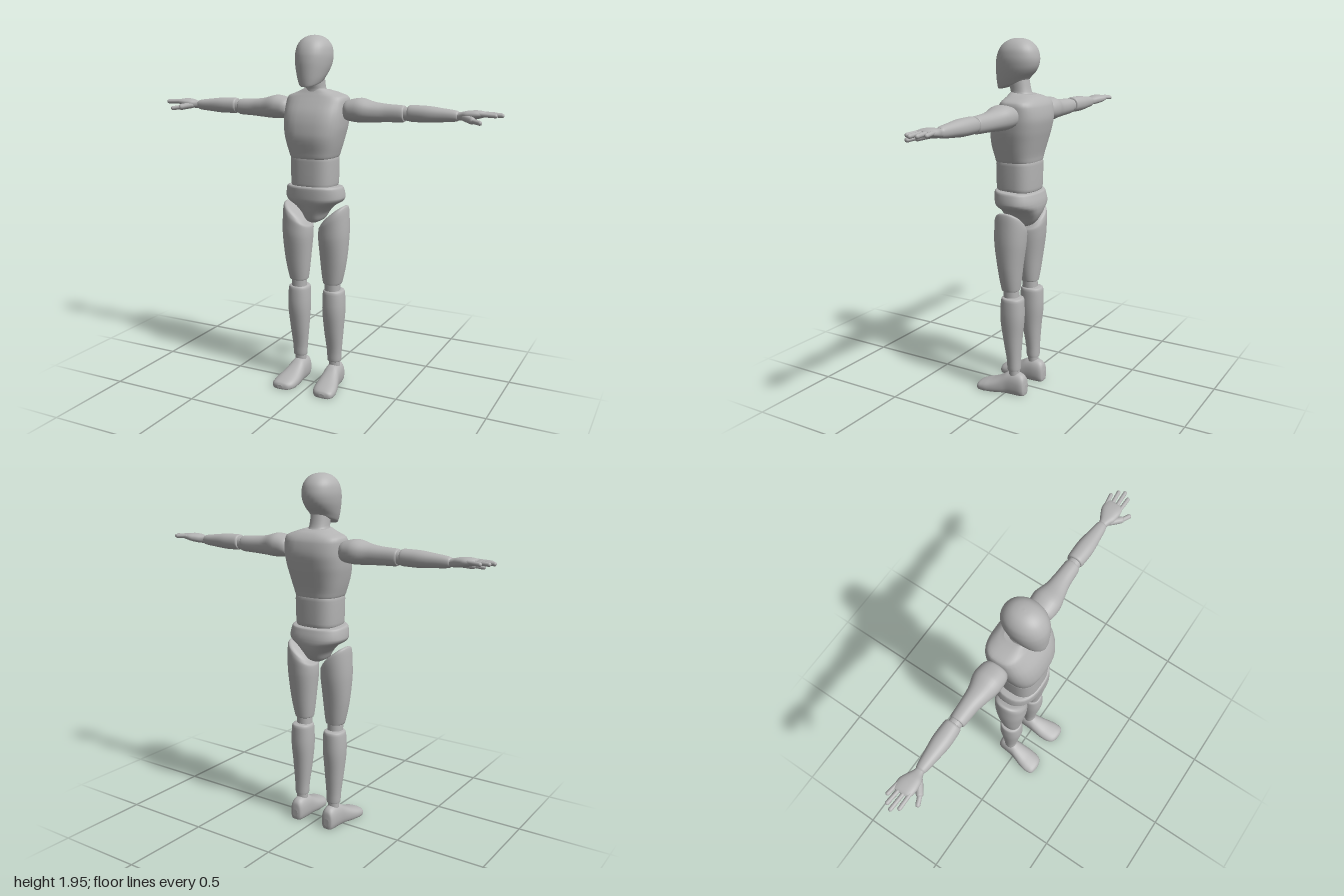
import * as THREE from 'three';

const grey = new THREE.MeshStandardMaterial({ color: 0xb4b4b4 });
grey.name = 'matte grey';

// Smooth interpolation through rows of numbers, with knots spaced by distance
function smoothRows(rows, steps) {
  const knots = [0];
  for (let i = 1; i < rows.length; i++) {
    const d = Math.hypot(...rows[i].map((v, k) => v - rows[i - 1][k]));
    knots.push(knots[i - 1] + Math.sqrt(d) + 1e-4);
  }
  const last = rows.length - 1;
  const slope = (i, k) => {
    const s = (a) => (rows[a + 1][k] - rows[a][k]) / (knots[a + 1] - knots[a]);
    if (i === 0) return s(0);
    if (i === last) return s(last - 1);
    const a = s(i - 1), b = s(i);
    return a * b <= 0 ? 0 : (2 * a * b) / (a + b);
  };
  const out = [];
  for (let i = 0; i < last; i++) {
    const h = knots[i + 1] - knots[i];
    for (let j = 0; j < steps; j++) {
      const t = j / steps, t2 = t * t, t3 = t2 * t;
      out.push(rows[i].map((p, k) => (2 * t3 - 3 * t2 + 1) * p + (t3 - 2 * t2 + t) * h * slope(i, k)
        + (3 * t2 - 2 * t3) * rows[i + 1][k] + (t3 - t2) * h * slope(i + 1, k)));
    }
  }
  out.push(rows[last]);
  return out;
}

// Skin over rounded sections along an axis (0 x, 1 y, 2 z).
// Row: [t, u0, u1, v0, v1, tiltU, tiltV]; u and v are the next two axes in x-y-z order.
function loft(axis, rows, power = 2.2, adjust = null) {
  const N = 32, pos = [], index = [];
  const full = rows.map((r) => [...r, 0, 0].slice(0, 7));
  const rings = smoothRows(full, 4);
  const put = (t, u, v) => {
    const p = [0, 0, 0];
    p[axis] = t; p[(axis + 1) % 3] = u; p[(axis + 2) % 3] = v;
    if (adjust) adjust(p);
    pos.push(...p);
  };
  const ring = ([t, u0, u1, v0, v1, tu, tv]) => {
    for (let i = 0; i < N; i++) {
      const a = (i / N) * Math.PI * 2, c = Math.cos(a), s = Math.sin(a);
      const du = (u1 - u0) / 2 * Math.sign(c) * Math.abs(c) ** (2 / power);
      const dv = (v1 - v0) / 2 * Math.sign(s) * Math.abs(s) ** (2 / power);
      put(t + tu * du + tv * dv, (u0 + u1) / 2 + du, (v0 + v1) / 2 + dv);
    }
  };
  rings.forEach(ring);
  for (let r = 0; r < rings.length - 1; r++) {
    for (let i = 0; i < N; i++) {
      const a = r * N + i, b = r * N + (i + 1) % N;
      index.push(a, b, b + N, a, b + N, a + N);
    }
  }
  // End caps
  for (const [row, top] of [[rings[0], false], [rings[rings.length - 1], true]]) {
    const base = pos.length / 3;
    ring(row);
    put(row[0], (row[1] + row[2]) / 2, (row[3] + row[4]) / 2);
    for (let i = 0; i < N; i++) {
      const a = base + i, b = base + (i + 1) % N;
      index.push(base + N, top ? a : b, top ? b : a);
    }
  }
  const g = new THREE.BufferGeometry();
  g.setAttribute('position', new THREE.Float32BufferAttribute(pos, 3));
  g.setIndex(index);
  g.computeVertexNormals();
  return g;
}

// Section row along y, symmetric about x = 0
const sym = (y, z0, z1, w, tilt = 0) => [y, z0, z1, -w, w, tilt, 0];

// Round-ended finger between two points
function finger(a, b, radius) {
  const p = new THREE.Vector3(...a), d = new THREE.Vector3(...b).sub(p);
  const g = new THREE.CapsuleGeometry(radius, d.length() - radius, 6, 12);
  g.applyQuaternion(new THREE.Quaternion().setFromUnitVectors(new THREE.Vector3(0, 1, 0), d.clone().normalize()));
  const mid = p.addScaledVector(d, 0.5);
  return g.translate(mid.x, mid.y, mid.z);
}

function mirrored(geometry) {
  const g = geometry.clone().scale(-1, 1, 1);
  g.setIndex(Array.from(g.index.array).reverse());
  return g;
}

export function createModel() {
  const model = new THREE.Group();
  model.name = 'jointedFigure';
  const add = (name, g) => {
    const mesh = new THREE.Mesh(g, grey);
    mesh.name = name;
    model.add(mesh);
  };
  const addPair = (name, g) => {
    add(name + 'Left', g);
    add(name + 'Right', mirrored(g));
  };

  // Head, neck and trunk
  add('head', loft(1, [
    sym(1.7, -0.035, 0.095, 0.035, -0.28), sym(1.703, -0.052, 0.113, 0.054, -0.27),
    sym(1.725, -0.068, 0.118, 0.068, -0.22), sym(1.76, -0.095, 0.121, 0.081, -0.12),
    sym(1.8, -0.114, 0.122, 0.091, -0.05), sym(1.84, -0.12, 0.118, 0.095),
    sym(1.88, -0.113, 0.105, 0.09), sym(1.915, -0.09, 0.08, 0.071),
    sym(1.935, -0.06, 0.048, 0.045), sym(1.943, -0.03, 0.02, 0.02), sym(1.945, -0.006, -0.004, 0.001),
  ], 2.1));
  add('neck', loft(1, [
    sym(1.62, -0.1, 0.035, 0.075, 0.1), sym(1.655, -0.09, 0.033, 0.058, 0.15),
    sym(1.68, -0.075, 0.038, 0.052, 0.15), sym(1.74, -0.06, 0.05, 0.05),
  ]));
  add('chest', loft(1, [
    sym(1.3, -0.1, 0.08, 0.1), sym(1.305, -0.12, 0.1, 0.122), sym(1.34, -0.127, 0.108, 0.136),
    sym(1.42, -0.148, 0.123, 0.157), sym(1.48, -0.163, 0.117, 0.168), sym(1.54, -0.172, 0.1, 0.172),
    sym(1.6, -0.163, 0.066, 0.171), sym(1.625, -0.15, 0.05, 0.164),
    sym(1.645, -0.13, 0.038, 0.12), sym(1.665, -0.1, 0.025, 0.065, 0.1),
  ], 2.8));
  add('abdomen', loft(1, [
    sym(1.145, -0.1, 0.08, 0.1), sym(1.15, -0.118, 0.094, 0.118), sym(1.17, -0.122, 0.098, 0.123),
    sym(1.29, -0.124, 0.1, 0.126), sym(1.312, -0.12, 0.097, 0.122), sym(1.318, -0.1, 0.08, 0.1),
  ], 2.8));
  add('pelvis', loft(1, [
    sym(0.945, -0.055, 0.025, 0.015), sym(0.96, -0.09, 0.05, 0.043), sym(1, -0.125, 0.072, 0.066),
    sym(1.04, -0.142, 0.088, 0.105), sym(1.07, -0.146, 0.099, 0.153), sym(1.09, -0.145, 0.103, 0.163),
    sym(1.135, -0.136, 0.106, 0.157, 0.06), sym(1.148, -0.13, 0.1, 0.15, 0.06), sym(1.153, -0.11, 0.08, 0.12, 0.06),
  ], 2.4));

  // Arms
  addPair('upperArm', loft(0, [
    [0.163, 1.53, 1.59, -0.08, -0.01], [0.172, 1.508, 1.608, -0.104, 0.014],
    [0.2, 1.501, 1.617, -0.118, 0.027], [0.25, 1.497, 1.625, -0.123, 0.03],
    [0.33, 1.501, 1.606, -0.103, 0.012], [0.4, 1.505, 1.598, -0.096, -0.003],
    [0.482, 1.508, 1.594, -0.091, -0.009], [0.492, 1.512, 1.59, -0.087, -0.013], [0.495, 1.525, 1.577, -0.07, -0.03],
  ]));
  addPair('elbow', loft(0, [[0.475, 1.517, 1.587, -0.086, -0.018], [0.535, 1.517, 1.587, -0.086, -0.018]]));
  addPair('forearm', loft(0, [
    [0.511, 1.53, 1.58, -0.075, -0.03], [0.514, 1.517, 1.593, -0.094, -0.014],
    [0.525, 1.513, 1.598, -0.098, -0.01], [0.6, 1.512, 1.597, -0.1, -0.006],
    [0.69, 1.518, 1.588, -0.09, -0.015], [0.765, 1.525, 1.578, -0.079, -0.026], [0.775, 1.53, 1.572, -0.074, -0.032],
  ]));
  addPair('palm', loft(0, [
    [0.76, 1.532, 1.57, -0.072, -0.033], [0.785, 1.531, 1.573, -0.077, -0.027],
    [0.82, 1.533, 1.581, -0.094, -0.01], [0.86, 1.54, 1.584, -0.108, -0.006],
    [0.895, 1.549, 1.58, -0.107, -0.011], [0.907, 1.557, 1.574, -0.1, -0.018],
  ], 2.4));
  const tips = [[0.95, -0.107], [0.985, -0.083], [1, -0.053], [0.975, -0.021]];
  tips.forEach(([x, z], i) => addPair('finger' + (i + 1),
    finger([0.875, 1.567, -0.096 + i * 0.025], [x - 0.005, 1.563, z], 0.0105)));
  addPair('thumbBase', finger([0.805, 1.549, -0.035], [0.865, 1.537, 0.012], 0.018));
  addPair('thumb', finger([0.84, 1.541, 0.002], [0.908, 1.53, 0.031], 0.012));

  // Legs
  addPair('thigh', loft(1, [
    [0.6, -0.05, 0.018, 0.07, 0.14], [0.605, -0.066, 0.03, 0.053, 0.154], [0.62, -0.069, 0.033, 0.049, 0.16],
    [0.75, -0.086, 0.051, 0.035, 0.185], [0.88, -0.104, 0.067, 0.026, 0.195, 0, 0.15],
    [0.95, -0.108, 0.067, 0.028, 0.192, 0, 0.5], [0.985, -0.104, 0.06, 0.04, 0.187, 0, 0.75],
    [1.003, -0.085, 0.04, 0.06, 0.172, 0, 0.8], [1.008, -0.05, 0.01, 0.09, 0.14, 0, 0.8],
  ]));
  addPair('knee', loft(1, [[0.54, -0.063, 0.024, 0.061, 0.146], [0.62, -0.06, 0.024, 0.061, 0.146]]));
  addPair('shin', loft(1, [
    [0.138, -0.065, -0.015, 0.08, 0.135], [0.142, -0.075, -0.005, 0.07, 0.146], [0.2, -0.076, 0, 0.066, 0.15],
    [0.33, -0.084, 0.022, 0.053, 0.162], [0.46, -0.096, 0.038, 0.045, 0.171],
    [0.545, -0.094, 0.034, 0.047, 0.167], [0.563, -0.088, 0.028, 0.053, 0.161], [0.568, -0.065, 0.01, 0.075, 0.14],
  ]));
  addPair('ankle', loft(1, [[0.1, -0.07, -0.012, 0.076, 0.139], [0.16, -0.07, -0.012, 0.076, 0.139]]));
  addPair('foot', loft(2, [
    [-0.114, 0.092, 0.124, 0.015, 0.06], [-0.109, 0.076, 0.138, -0.01, 0.096], [-0.09, 0.066, 0.147, -0.02, 0.118],
    [-0.05, 0.061, 0.152, -0.02, 0.127], [-0.01, 0.06, 0.156, -0.02, 0.12], [0.03, 0.057, 0.167, -0.02, 0.096],
    [0.08, 0.054, 0.182, -0.02, 0.071], [0.12, 0.057, 0.189, -0.02, 0.057], [0.15, 0.067, 0.187, -0.015, 0.046],
    [0.168, 0.087, 0.174, -0.01, 0.036], [0.175, 0.115, 0.147, 0.005, 0.025],
  ], 2.3, (p) => { p[1] = Math.max(p[1], 0); }));

  return model;
}
